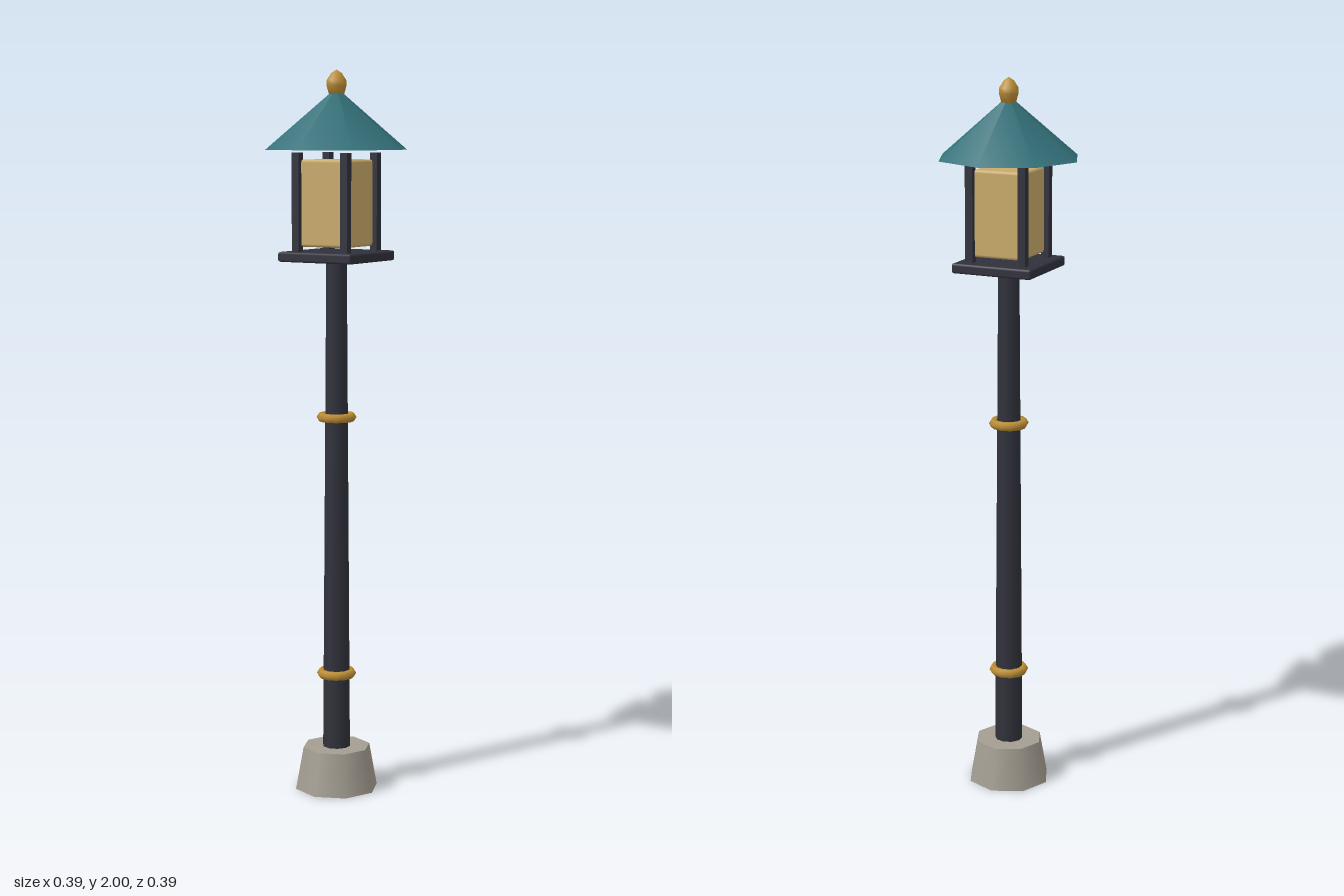
import * as THREE from 'three';
import { RoundedBoxGeometry } from 'three/addons/geometries/RoundedBoxGeometry.js';

const material = (color) => new THREE.MeshStandardMaterial({ color });

export function createModel() {
  const lamp = new THREE.Group();
  lamp.name = 'streetLamp';

  const stone = material(0xa39d91);
  const iron = material(0x31313c);
  const gold = material(0xbc8d35);
  const glass = material(0xc9aa6a);
  const teal = material(0x34717a);

  const add = (name, geometry, mat, x, y, z) => {
    const mesh = new THREE.Mesh(geometry, mat);
    mesh.name = name;
    mesh.position.set(x, y, z);
    lamp.add(mesh);
    return mesh;
  };

  // Stone foot and tapering pole
  add('foot', new THREE.CylinderGeometry(0.095, 0.117, 0.12, 8), stone, 0, 0.06, 0);
  add('pole', new THREE.CylinderGeometry(0.029, 0.039, 1.38, 10), iron, 0, 0.8, 0);

  // Decorative collars around the pole
  for (const y of [0.33, 1.055]) {
    const ring = add('collar', new THREE.TorusGeometry(0.042, 0.013, 6, 12), gold, 0, y, 0);
    ring.rotation.x = Math.PI / 2;
  }

  // Lantern: tray, glass body and four corner posts
  add('tray', new RoundedBoxGeometry(0.233, 0.027, 0.233, 1, 0.006), iron, 0, 1.498, 0);
  add('lanternGlass', new RoundedBoxGeometry(0.148, 0.235, 0.148, 1, 0.008), glass, 0, 1.642, 0);
  for (const sx of [-1, 1]) {
    for (const sz of [-1, 1]) {
      add('cornerPost', new THREE.BoxGeometry(0.022, 0.27, 0.022), iron, sx * 0.077, 1.643, sz * 0.077);
    }
  }

  // Eight-sided roof
  add('roof', new THREE.ConeGeometry(0.197, 0.166, 8), teal, 0, 1.869, 0);

  // Finial
  const profile = [[0, 1.93], [0.02, 1.93], [0.028, 1.958], [0.027, 1.972], [0.015, 1.99], [0, 2]]
    .map(([r, y]) => new THREE.Vector2(r, y));
  add('finial', new THREE.LatheGeometry(profile, 8), gold, 0, 0, 0);

  return lamp;
}
